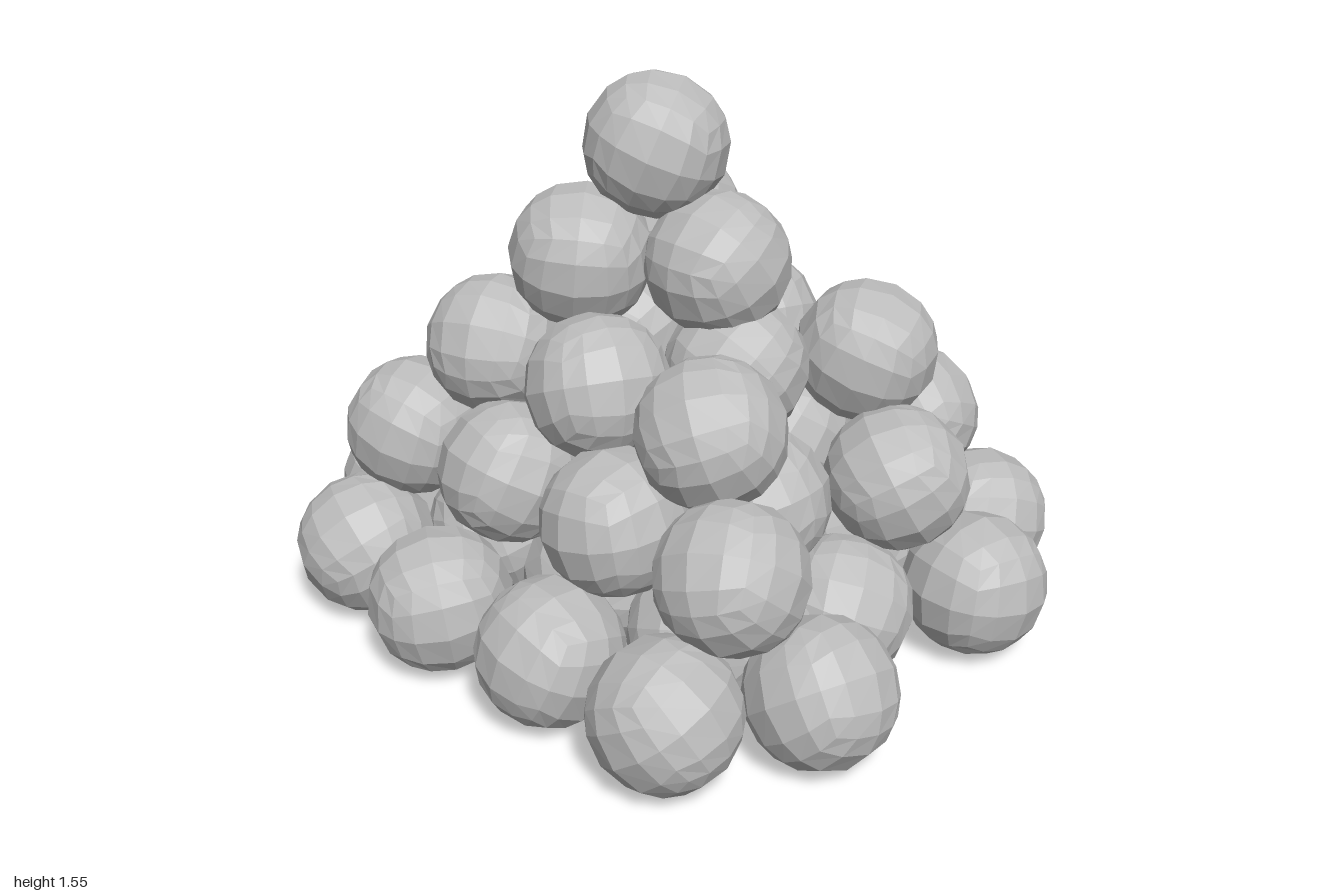
import * as THREE from 'three';

const R = 0.2;

// Faceted ball: a gridded cube pushed out onto a sphere, with one normal per facet
function ballGeometry() {
  const box = new THREE.BoxGeometry(1, 1, 1, 4, 4, 4);
  const p = box.attributes.position;
  const v = new THREE.Vector3();
  for (let i = 0; i < p.count; i++) {
    v.fromBufferAttribute(p, i).setLength(R);
    p.setXYZ(i, v.x, v.y, v.z);
  }
  const flat = box.toNonIndexed();
  flat.computeVertexNormals();
  return flat;
}

// Small seeded generator for the way each ball is turned
function seeded(seed) {
  return () => (seed = (seed * 16807) % 2147483647) / 2147483647;
}

const five = [-0.8, -0.4, 0, 0.4, 0.8];
const four = [-0.6, -0.2, 0.2, 0.6];
const three = [-0.4, 0, 0.4];
const two = [-0.2, 0.2];

// Each layer: height, then rows of [z, x positions]
const layers = [
  { name: 'bottomLayer', y: 0.202, rows: [
    [-0.685, four], [-0.365, five], [-0.02, four], [0.32, five],
    [0.635, [-0.605]], [0.685, [-0.225]], [0.655, [0.175]], [0.65, [0.575]],
  ] },
  { name: 'secondLayer', y: 0.506, rows: [
    [-0.59, three], [-0.25, four], [0.1, three], [0.435, four],
  ] },
  { name: 'thirdLayer', y: 0.782, rows: [
    [-0.365, [-0.385, 0.395]], [-0.31, [0.02]], [-0.04, two], [0.295, [-0.39, 0.005, 0.405]],
  ] },
  { name: 'fourthLayer', y: 1.062, rows: [
    [-0.225, [-0.2]], [-0.045, [0.125]], [0.155, [-0.19]],
  ] },
  { name: 'topLayer', y: 1.357, rows: [[-0.02, [-0.075]]] },
];

export function createModel() {
  const model = new THREE.Group();
  model.name = 'ballPile';
  const iron = new THREE.MeshStandardMaterial({ color: 0xbcbcbc });
  iron.name = 'light grey iron';
  const geometry = ballGeometry();
  const random = seeded(4817);

  // Stack the layers, turning every ball differently
  for (const { name, y, rows } of layers) {
    const layer = new THREE.Group();
    layer.name = name;
    for (const [z, xs] of rows) {
      for (const x of xs) {
        const ball = new THREE.Mesh(geometry, iron);
        ball.name = 'ball';
        ball.position.set(x, y, z);
        ball.rotation.set(random() * 6.28, random() * 6.28, random() * 6.28);
        layer.add(ball);
      }
    }
    model.add(layer);
  }
  return model;
}
